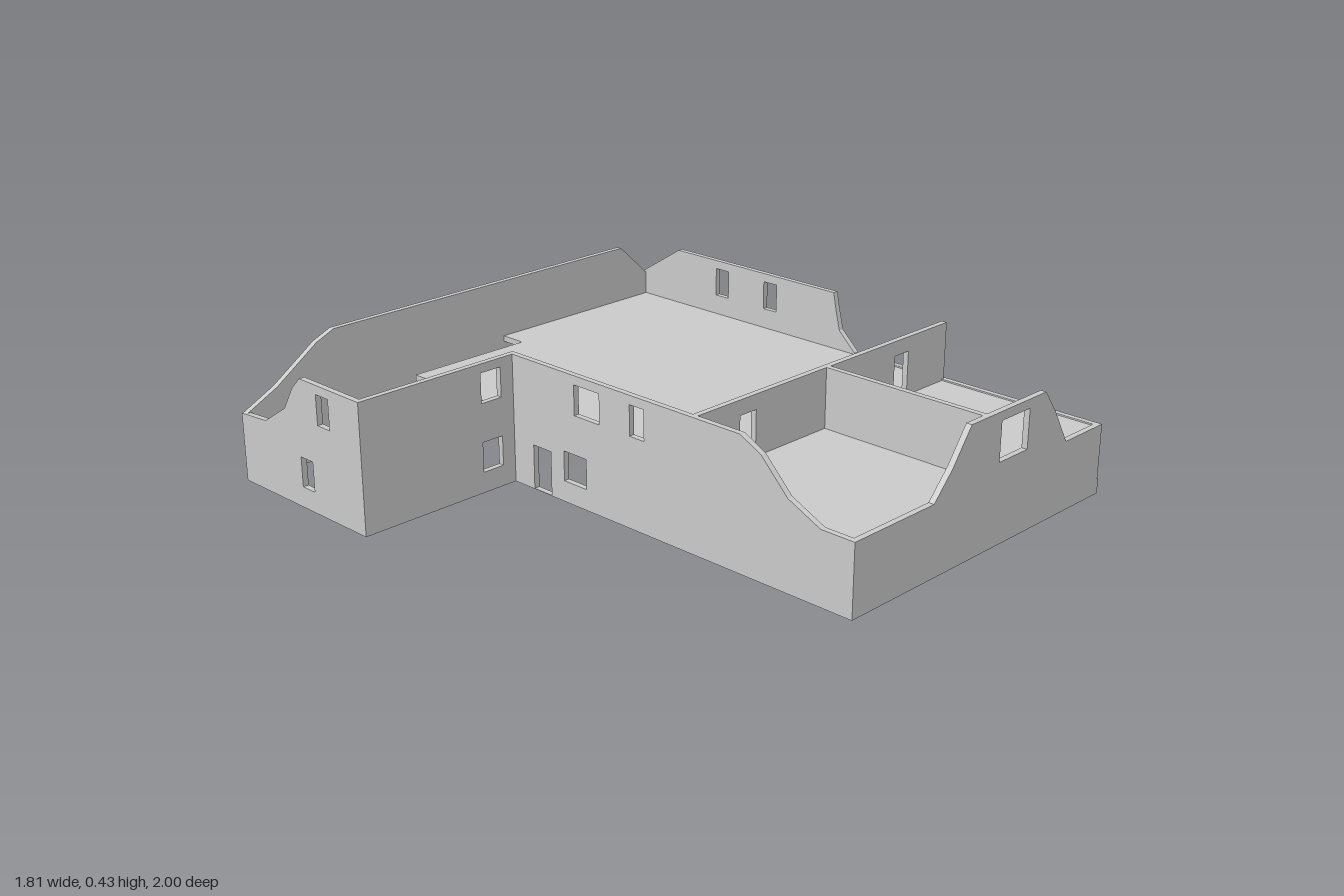
import * as THREE from 'three';

const material = new THREE.MeshStandardMaterial({ color: 0xcccccc, side: THREE.DoubleSide });
const T = 0.02; // wall thickness
const TOP = 0.43, LOW = 0.235, FLOOR = 0.23;

// Closed shape from corner points, with rectangular holes [u0, u1, v0, v1]
function outline(points, holes = []) {
  const shape = new THREE.Shape(points.map(([u, v]) => new THREE.Vector2(u, v)));
  for (const [u0, u1, v0, v1] of holes) {
    shape.holes.push(new THREE.Path([
      new THREE.Vector2(u0, v0), new THREE.Vector2(u0, v1),
      new THREE.Vector2(u1, v1), new THREE.Vector2(u1, v0),
    ]));
  }
  return shape;
}

function extrude(name, shape, depth) {
  const mesh = new THREE.Mesh(new THREE.ExtrudeGeometry(shape, { depth, bevelEnabled: false }), material);
  mesh.name = name;
  return mesh;
}

// A wall is its top edge, listed along its length, closed down to the ground
function wall(name, top, holes) {
  const first = top[0][0], last = top[top.length - 1][0];
  return extrude(name, outline([[first, 0], [last, 0], ...top.slice().reverse()], holes), T);
}

// Wall running along x, its back surface at z
function wallX(name, z, top, holes) {
  const mesh = wall(name, top, holes);
  mesh.position.z = z;
  return mesh;
}

// Wall running along z, its +x surface at x
function wallZ(name, x, top, holes) {
  const mesh = wall(name, top, holes);
  mesh.rotation.y = -Math.PI / 2;
  mesh.position.x = x;
  return mesh;
}

function box(name, x0, x1, y0, y1, z0, z1) {
  const mesh = new THREE.Mesh(new THREE.BoxGeometry(x1 - x0, y1 - y0, z1 - z0), material);
  mesh.position.set((x0 + x1) / 2, (y0 + y1) / 2, (z0 + z1) / 2);
  mesh.name = name;
  return mesh;
}

export function createModel() {
  const model = new THREE.Group();
  model.name = 'ruinedBuilding';

  // Outer walls with broken top edges
  model.add(
    wallX('frontWall', 1 - T,
      [[-0.31, LOW], [0.04, LOW], [0.12, 0.32], [0.2, TOP], [0.57, TOP], [0.63, 0.35], [0.7, LOW], [0.9, LOW]],
      [[0.35, 0.49, 0.27, 0.4]]),
    wallX('backWall', -1,
      [[-0.9, 0.23], [-0.78, 0.29], [-0.62, 0.4], [-0.55, TOP], [0.75, TOP], [0.88, 0.31], [0.9, 0.3]]),
    wallZ('leftSideWall', 0.9,
      [[-1, 0.31], [-0.81, TOP], [-0.07, TOP], [-0.06, 0.38], [-0.04, 0.3], [0.03, LOW], [1, LOW]],
      [[-0.62, -0.56, 0.3, 0.4], [-0.39, -0.33, 0.3, 0.4]]),
    wallZ('rightSideWall', -0.29,
      [[-0.4, TOP], [0.58, TOP], [0.66, 0.39], [0.76, 0.29], [0.88, LOW], [1, LOW]],
      [[-0.1, 0.01, 0.3, 0.4], [0.14, 0.2, 0.3, 0.4],
        [-0.15, -0.05, 0.07, 0.17], [-0.29, -0.21, 0.002, 0.15]]),
    box('baseStrip', 0.9, 0.905, 0, 0.05, -1, 1),
  );

  // Floorless side wing
  model.add(
    wallX('wingFrontWall', -0.4, [[-0.9, TOP], [-0.3, TOP]],
      [[-0.44, -0.36, 0.3, 0.4], [-0.44, -0.36, 0.07, 0.17]]),
    wallZ('wingSideWall', -0.885,
      [[-1, 0.23], [-0.87, 0.24], [-0.76, 0.31], [-0.71, 0.39], [-0.67, TOP], [-0.38, TOP]],
      [[-0.59, -0.53, 0.3, 0.4], [-0.69, -0.63, 0.07, 0.17]]),
  );

  // Inner walls: upper cross wall over a shorter ground-floor one
  const crossWall = extrude('crossWall', outline(
    [[-0.3, 0], [0.3, 0], [0.3, FLOOR - 0.02], [0.89, FLOOR - 0.02], [0.89, TOP], [-0.3, TOP]],
    [[-0.11, -0.04, FLOOR, 0.38], [0.62, 0.69, FLOOR, 0.38], [-0.11, -0.04, 0.002, 0.15]]), T);
  crossWall.position.z = 0.38;
  model.add(crossWall, wallZ('roomDivider', 0.3, [[0.39, TOP], [0.99, TOP]]));

  // Upper floor, cut away at the back for the stairwell
  const floor = extrude('upperFloor', outline([
    [-0.3, -0.885], [0.17, -0.885], [0.17, -0.99], [0.89, -0.99], [0.89, 0.99], [-0.3, 0.99],
  ]), T);
  floor.rotation.x = Math.PI / 2;
  floor.position.y = FLOOR;
  model.add(floor, box('stairwellSlab', -0.3, 0.17, 0, 0.008, -0.985, -0.885));

  return model;
}
